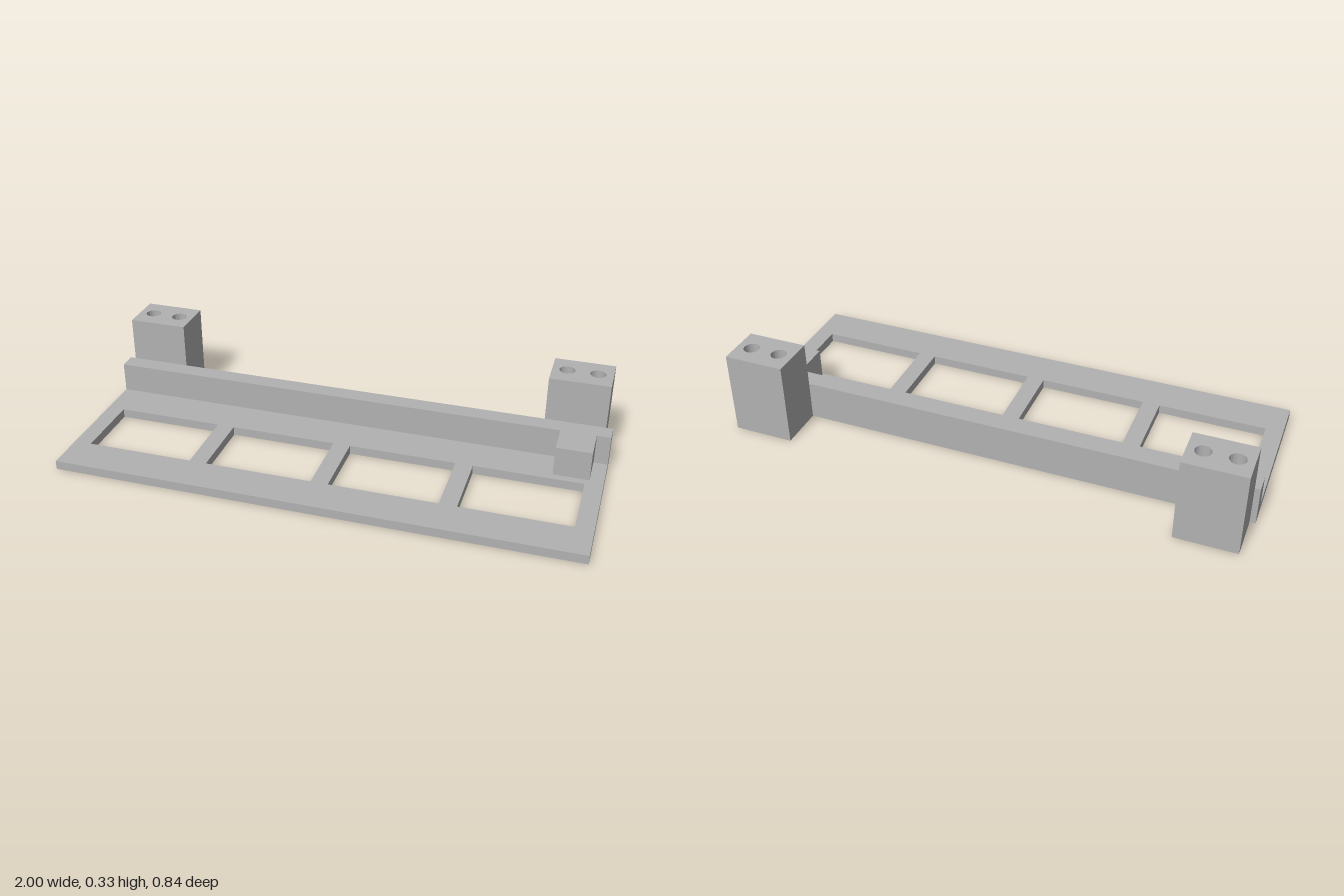
import * as THREE from 'three';
import { toCreasedNormals } from 'three/addons/utils/BufferGeometryUtils.js';

// Rectangle given in x and z; shape y is -z so it can be laid flat
function rect(path, x0, x1, z0, z1) {
  path.moveTo(x0, -z1);
  path.lineTo(x1, -z1);
  path.lineTo(x1, -z0);
  path.lineTo(x0, -z0);
  path.closePath();
  return path;
}

// Horizontal slab with holes, standing from y0 to y1
function slab(shape, y0, y1) {
  const g = new THREE.ExtrudeGeometry(shape, { depth: y1 - y0, bevelEnabled: false, curveSegments: 24 });
  g.rotateX(-Math.PI / 2).translate(0, y0, 0);
  return toCreasedNormals(g, 0.6);
}

export function createModel() {
  const group = new THREE.Group();
  const grey = new THREE.MeshStandardMaterial({ color: 0xb2b2b2 });
  grey.name = 'plain grey';

  const add = (name, geometry, parent = group) => {
    const mesh = new THREE.Mesh(geometry, grey);
    mesh.name = name;
    parent.add(mesh);
  };
  const box = (name, x0, x1, y0, y1, z0, z1) => add(name,
    new THREE.BoxGeometry(x1 - x0, y1 - y0, z1 - z0)
      .translate((x0 + x1) / 2, (y0 + y1) / 2, (z0 + z1) / 2));

  // Base plate with four windows
  const plate = rect(new THREE.Shape(), -1, 1, -0.245, 0.418);
  for (const x of [-0.725, -0.242, 0.241, 0.724]) {
    plate.holes.push(rect(new THREE.Path(), x - 0.208, x + 0.208, -0.016, 0.265));
  }
  add('basePlate', slab(plate, 0, 0.035));

  // Rear wall and the block projecting from it
  box('rearWall', -1, 1, 0.035, 0.152, -0.245, -0.175);
  box('wallBlock', 0.812, 0.947, 0.042, 0.158, -0.175, -0.035);

  // Mounting posts: narrow screw holes above wide counterbores
  for (const [name, cx] of [['rightPost', -0.863], ['leftPost', 0.858]]) {
    const post = new THREE.Group();
    post.name = name;
    const section = (part, radius, y0, y1) => {
      const shape = rect(new THREE.Shape(), cx - 0.116, cx + 0.116, -0.418, -0.245);
      for (const dx of [-0.058, 0.058]) {
        const hole = new THREE.Path();
        hole.absarc(cx + dx, 0.333, radius, 0, Math.PI * 2, true);
        shape.holes.push(hole);
      }
      add(part, slab(shape, y0, y1), post);
    };
    section('counterboreSection', 0.052, 0, 0.24);
    section('screwHoleSection', 0.03, 0.24, 0.327);
    group.add(post);
  }
  return group;
}
